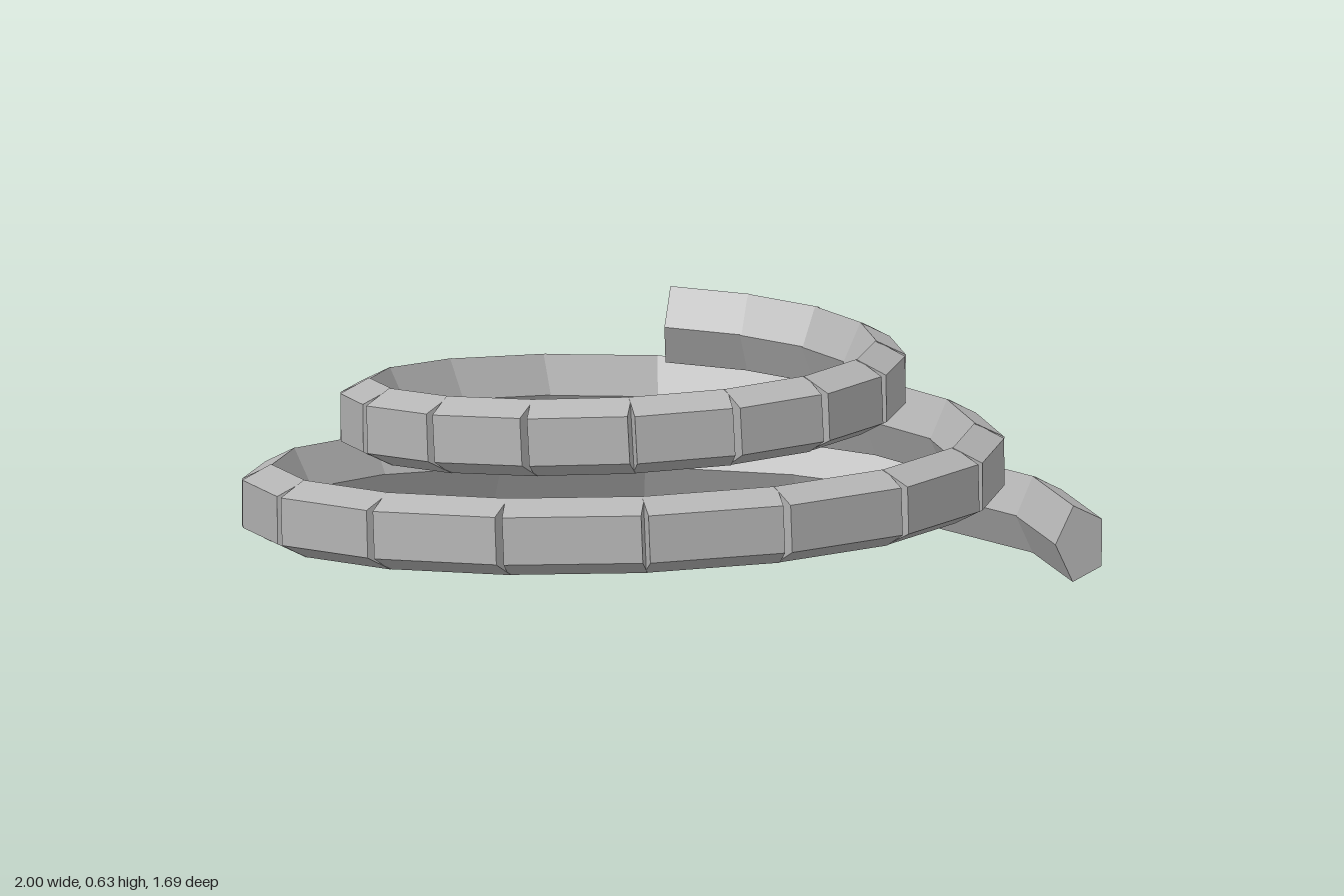
import * as THREE from 'three';

const STEPS_PER_TURN = 16, SEGMENTS = 36;
const HALF_WIDTH = 0.062, HALF_HEIGHT = 0.095;

// Centre line: a rising, inward, slightly oval spiral
function spiralPoint(i) {
  const t = i / STEPS_PER_TURN;
  const r = 1.007 - 0.2277 * t;
  const a = Math.PI * 2 * t - 0.026 * t / r;
  return new THREE.Vector3(
    -0.057 + r * Math.cos(a),
    0.092 + 0.199 * t,
    0.046 - 0.888 * r * Math.sin(a)
  );
}

export function createModel() {
  const group = new THREE.Group();
  group.name = 'spiralCoil';
  const grey = new THREE.MeshStandardMaterial({ color: 0xb4b4b4, flatShading: true });
  grey.name = 'grey';
  const up = new THREE.Vector3(0, 1, 0);

  // Five-sided prism with one edge pointing to the inside of the coil
  const prism = new THREE.CylinderGeometry(1, 1, 1, 5, 1, false, -Math.PI / 2);

  // Straight prisms butt together on the centre line, leaving outer notches
  for (let i = 0; i < SEGMENTS; i++) {
    const a = spiralPoint(i), b = spiralPoint(i + 1);
    const along = b.clone().sub(a);
    const length = along.length();
    along.normalize();
    const outward = along.clone().cross(up).normalize();
    const across = outward.clone().cross(along);

    const matrix = new THREE.Matrix4().makeBasis(outward, along, across);
    matrix.scale(new THREE.Vector3(HALF_WIDTH, length, HALF_HEIGHT));
    matrix.setPosition(a.add(b).multiplyScalar(0.5));

    const segment = new THREE.Mesh(prism.clone().applyMatrix4(matrix), grey);
    segment.name = `coilSegment${i + 1}`;
    group.add(segment);
  }
  return group;
}
